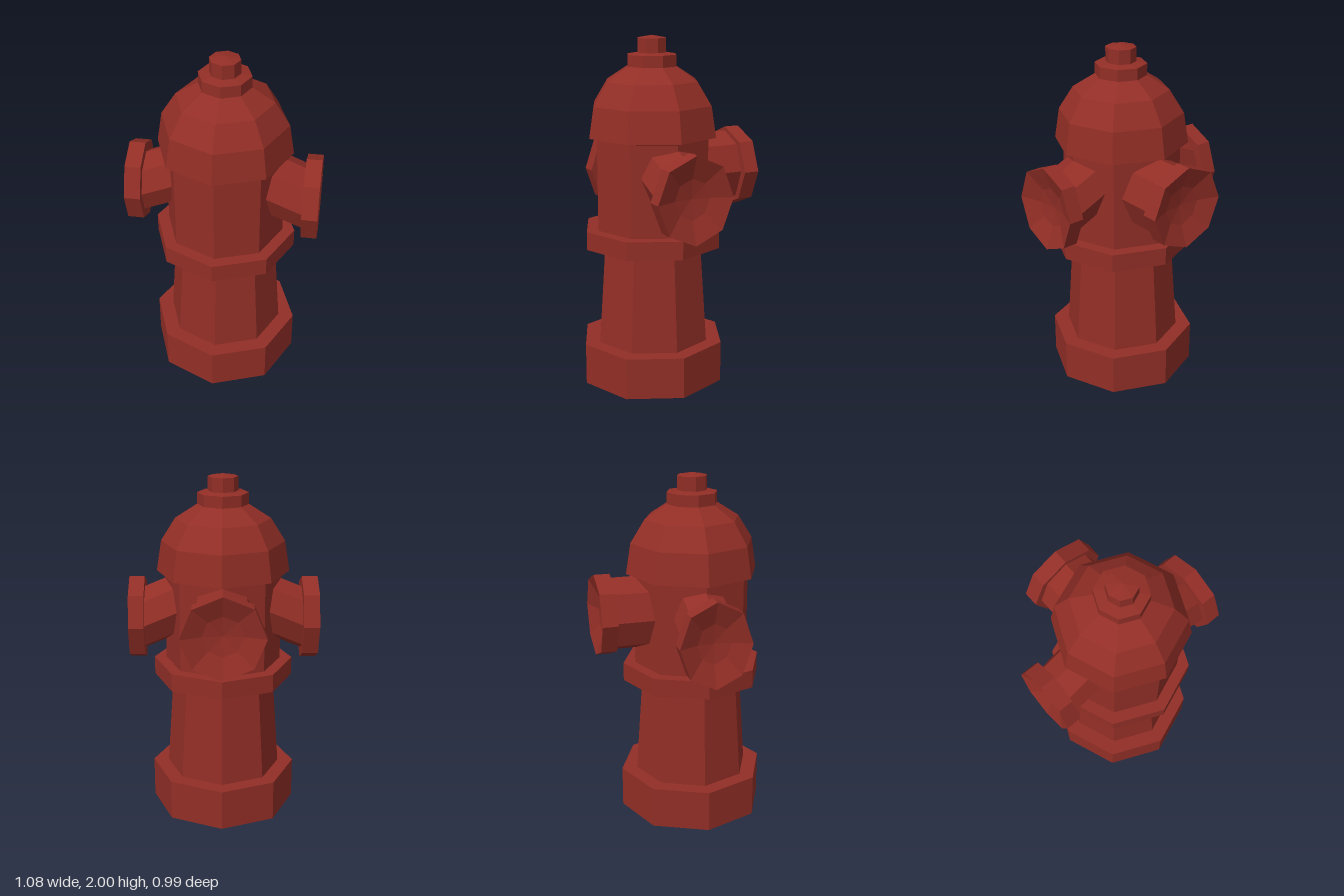
import * as THREE from 'three';

const SIDES = 8;
const TWIST = -0.035; // slight turn of the body about its axis
const AXIS_Z = 0.07;  // body axis sits a little forward of the origin

const paint = new THREE.MeshStandardMaterial({ color: 0x922e26, flatShading: true });

// Eight-sided turned surface; profile is [radius, height] pairs
function turned(profile, phiStart = 0) {
  const points = profile.map(([r, y]) => new THREE.Vector2(r, y));
  return new THREE.LatheGeometry(points, SIDES, phiStart);
}

function part(name, geometry) {
  const mesh = new THREE.Mesh(geometry, paint);
  mesh.name = name;
  return mesh;
}

// Outlet pointing along +z before turning: a pipe (leaning down by slope) and a dished flange
function outlet(name, { turn, position, start, inner, outer, pipe, flange, slope = 0 }) {
  const group = new THREE.Group();
  group.name = name;

  const pipeGeo = turned([[pipe.r, start], [pipe.r, inner]]).rotateX(Math.PI / 2).scale(pipe.width, 1, 1);
  const p = pipeGeo.attributes.position;
  for (let i = 0; i < p.count; i++) p.setY(i, p.getY(i) + slope * (inner - p.getZ(i)));
  group.add(part(name + 'Pipe', pipeGeo));

  const flangeGeo = turned([
    [pipe.r * 0.85, inner], [flange.r, inner], [flange.r, outer],
    [0.115, outer - 0.045], [0, outer - 0.06],
  ]).rotateX(Math.PI / 2).scale(flange.width, 1, 1);
  group.add(part(name + 'Flange', flangeGeo));

  group.rotation.y = turn;
  group.position.set(...position);
  return group;
}

export function createModel() {
  const model = new THREE.Group();
  model.name = 'hydrant';

  // Stacked body sections, each picking up where the last one ends
  const sections = {
    base: [[0, 0], [0.425, 0], [0.425, 0.24], [0.335, 0.24]],
    lowerBarrel: [[0.335, 0.24], [0.295, 0.81]],
    collar: [[0.295, 0.81], [0.405, 0.81], [0.405, 0.915], [0.335, 0.915]],
    upperBarrel: [[0.335, 0.915], [0.335, 1.435]],
    dome: [[0.335, 1.435], [0.38, 1.445], [0.352, 1.62], [0.27, 1.75], [0.145, 1.83]],
    cap: [[0.145, 1.83], [0.145, 1.895], [0.085, 1.905]],
    topNut: [[0.085, 1.905], [0.085, 1.985], [0, 2]],
  };
  for (const [name, profile] of Object.entries(sections)) {
    const mesh = part(name, turned(profile, TWIST));
    mesh.position.z = AXIS_Z;
    model.add(mesh);
  }

  // Side outlets lean down towards their flanges
  model.add(outlet('leftOutlet', {
    turn: Math.PI / 2, position: [0, 1.167, 0.078], start: 0.24, inner: 0.45, outer: 0.538,
    pipe: { r: 0.185, width: 1 }, flange: { r: 0.245, width: 0.93 }, slope: 0.42,
  }));
  model.add(outlet('rightOutlet', {
    turn: -Math.PI / 2, position: [0, 1.167, 0.052], start: 0.24, inner: 0.452, outer: 0.543,
    pipe: { r: 0.185, width: 0.86 }, flange: { r: 0.245, width: 0.83 }, slope: 0.42,
  }));

  // Larger rear outlet
  model.add(outlet('rearOutlet', {
    turn: Math.PI, position: [0.01, 1.22, 0], start: 0.16, inner: 0.405, outer: 0.495,
    pipe: { r: 0.212, width: 0.91 }, flange: { r: 0.235, width: 1 },
  }));

  return model;
}
